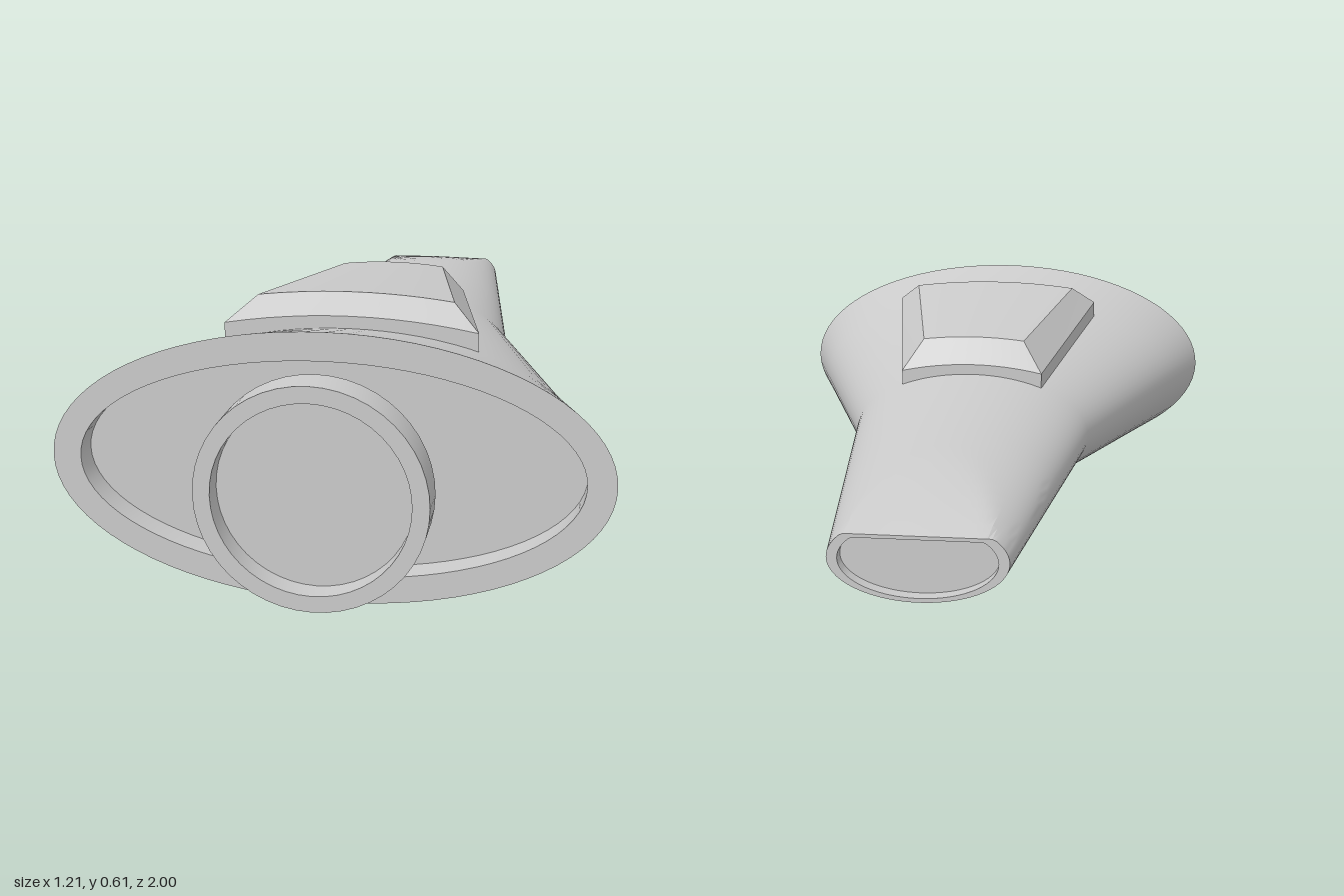
import * as THREE from 'three';
import { toCreasedNormals } from 'three/addons/utils/BufferGeometryUtils.js';

const material = new THREE.MeshStandardMaterial({ color: 0xcccccc });
const V = (x, y, z) => new THREE.Vector3(x, y, z);
const lerp = THREE.MathUtils.lerp;

function addPart(group, name, geometry, crease = 0.5) {
  const mesh = new THREE.Mesh(toCreasedNormals(geometry, crease), material);
  mesh.name = name;
  group.add(mesh);
}

// Skin a list of closed rings with equal point counts
function loft(rings) {
  const pos = [];
  const tri = (a, b, c) => {
    const area = b.clone().sub(a).cross(c.clone().sub(a)).length();
    if (area > 1e-9) pos.push(...a.toArray(), ...b.toArray(), ...c.toArray());
  };
  for (let j = 0; j < rings.length - 1; j++) {
    const A = rings[j], B = rings[j + 1];
    A.forEach((a, i) => {
      const k = (i + 1) % A.length;
      tri(a, B[i], A[k]);
      tri(A[k], B[i], B[k]);
    });
  }
  const geometry = new THREE.BufferGeometry();
  geometry.setAttribute('position', new THREE.Float32BufferAttribute(pos, 3));
  return geometry;
}

// Oval section; towards the tail its crown is shaved down to a flat
function section(z, rx, cy, top, bottom) {
  const n = 80, s = Math.max(0, -z - 0.5);
  const crown = 0.441 - 0.0517 * s - 0.217 * s * s;
  const dome = 1.1 * (1 - s / 0.5);
  return Array.from({ length: n }, (_, i) => {
    const a = (i / n) * Math.PI * 2;
    const x = rx * Math.cos(a), sin = Math.sin(a);
    let y = cy + sin * (sin > 0 ? top : bottom);
    if (s > 0) y = Math.min(y, crown - dome * x * x);
    return V(x, y, z);
  });
}

// Shrink a ring about a centre height and move it to another z
const inset = (ring, k, cy, z) => ring.map((p) => V(p.x * k, cy + (p.y - cy) * k, z));

function bodyGeometry() {
  const skin = [
    section(0.83, 0.607, 0.307, 0.305, 0.303),
    section(0.57, 0.519, 0.31, 0.237, 0.262),
    section(-0.08, 0.302, 0.317, 0.158, 0.158),
  ];
  for (let i = 0; i <= 10; i++) {
    const z = -0.5 - i * 0.05, t = (-z - 0.08) / 0.92;
    const r = lerp(0.158, 0.09, t);
    skin.push(section(z, lerp(0.302, 0.185, t), lerp(0.317, 0.31, t), r, r));
  }
  const mouth = section(0.83, 0.545, 0.307, 0.242, 0.242);
  const tail = skin[skin.length - 1];
  return loft([
    inset(mouth, 0, 0.307, 0.77), inset(mouth, 1, 0.307, 0.77), mouth, // recessed front
    ...skin,
    inset(tail, 0.88, 0.295, -1), inset(tail, 0.88, 0.295, -0.97), inset(tail, 0, 0.295, -0.97), // recessed tail
  ]);
}

// Bevelled panel: each ring is an arched front row and an arched back row
function panelGeometry() {
  const n = 12;
  const row = ([halfWidth, middle, edge, z], dir) =>
    Array.from({ length: n + 1 }, (_, i) => {
      const u = dir * (1 - (2 * i) / n);
      return V(u * halfWidth, middle + (edge - middle) * u * u, z);
    });
  const ring = (front, back) => [...row(front, 1), ...row(back, -1)];
  const base = ring([0.29, 0.5, 0.46, 0.565], [0.18, 0.42, 0.4, -0.09]);
  const lip = ring([0.29, 0.575, 0.548, 0.565], [0.18, 0.5, 0.48, -0.09]);
  const top = ring([0.227, 0.615, 0.6, 0.5], [0.13, 0.562, 0.554, -0.04]);
  const midline = top.map((p, i) => p.clone().add(top[top.length - 1 - i]).multiplyScalar(0.5));
  return loft([base, lip, top, midline]);
}

// Flared round collar with a shallow socket
function collarGeometry() {
  const profile = [[0.155, 0.77], [0.243, 0.92], [0.243, 1], [0.207, 1], [0.207, 0.95], [0, 0.95]];
  const geometry = new THREE.LatheGeometry(profile.map(([r, z]) => new THREE.Vector2(r, z)), 48);
  return geometry.rotateX(Math.PI / 2).translate(0, 0.307, 0);
}

export function createModel() {
  const group = new THREE.Group();
  group.name = 'taperedHull';
  addPart(group, 'body', bodyGeometry());
  addPart(group, 'topPanel', panelGeometry(), 0.3);
  addPart(group, 'collar', collarGeometry(), 0.4);
  return group;
}
